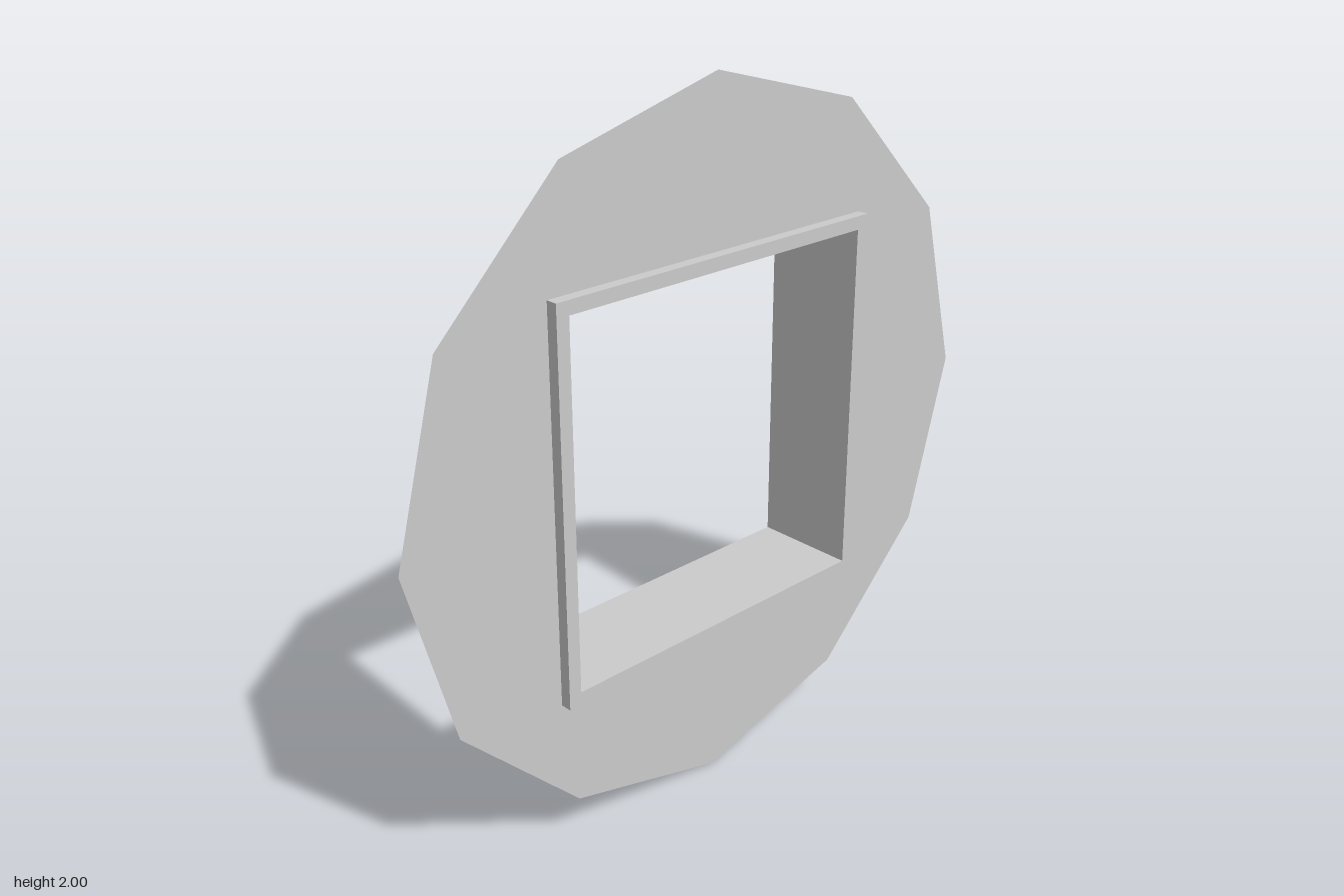
import * as THREE from 'three';

const FRONT = 0.153, PANEL = 0.12, BACK = -0.153; // depths along z
const INNER = 0.51, OUTER = 0.548;               // half widths of the squares

const material = new THREE.MeshStandardMaterial({
  color: 0xcccccc, flatShading: true, side: THREE.DoubleSide,
});

// Regular polygon outline around the origin
function polygon(sides, radius, start = 0) {
  return Array.from({ length: sides }, (_, i) => {
    const a = start + (i / sides) * Math.PI * 2;
    return new THREE.Vector2(Math.cos(a) * radius, Math.sin(a) * radius);
  });
}
const square = (half) => polygon(4, half * Math.SQRT2, Math.PI / 4);

// Flat sheet with a square hole
function sheet(outline, holeHalf, z) {
  const shape = new THREE.Shape(outline);
  shape.holes.push(new THREE.Path(square(holeHalf)));
  return new THREE.ShapeGeometry(shape).translate(0, 0, z);
}

// Open square tube of thin walls between two depths
function tube(half, z0, z1) {
  const r = half * Math.SQRT2;
  return new THREE.CylinderGeometry(r, r, z1 - z0, 4, 1, true, Math.PI / 4)
    .rotateX(Math.PI / 2)
    .translate(0, 0, (z0 + z1) / 2);
}

export function createModel() {
  const model = new THREE.Group();
  model.name = 'windowInWall';
  const add = (name, geometry) => {
    const mesh = new THREE.Mesh(geometry, material);
    mesh.name = name;
    mesh.position.y = 1;
    model.add(mesh);
  };

  // Twelve-sided wall panel, cut out behind the trim
  add('wallPanel', sheet(polygon(12, 1), OUTER, PANEL));
  // Raised trim: front face and outer rim, open at the back
  add('trimFace', sheet(square(OUTER), INNER, FRONT));
  add('trimRim', tube(OUTER, PANEL, FRONT));
  // Deep lining of the opening
  add('openingLining', tube(INNER, BACK, FRONT));

  return model;
}
